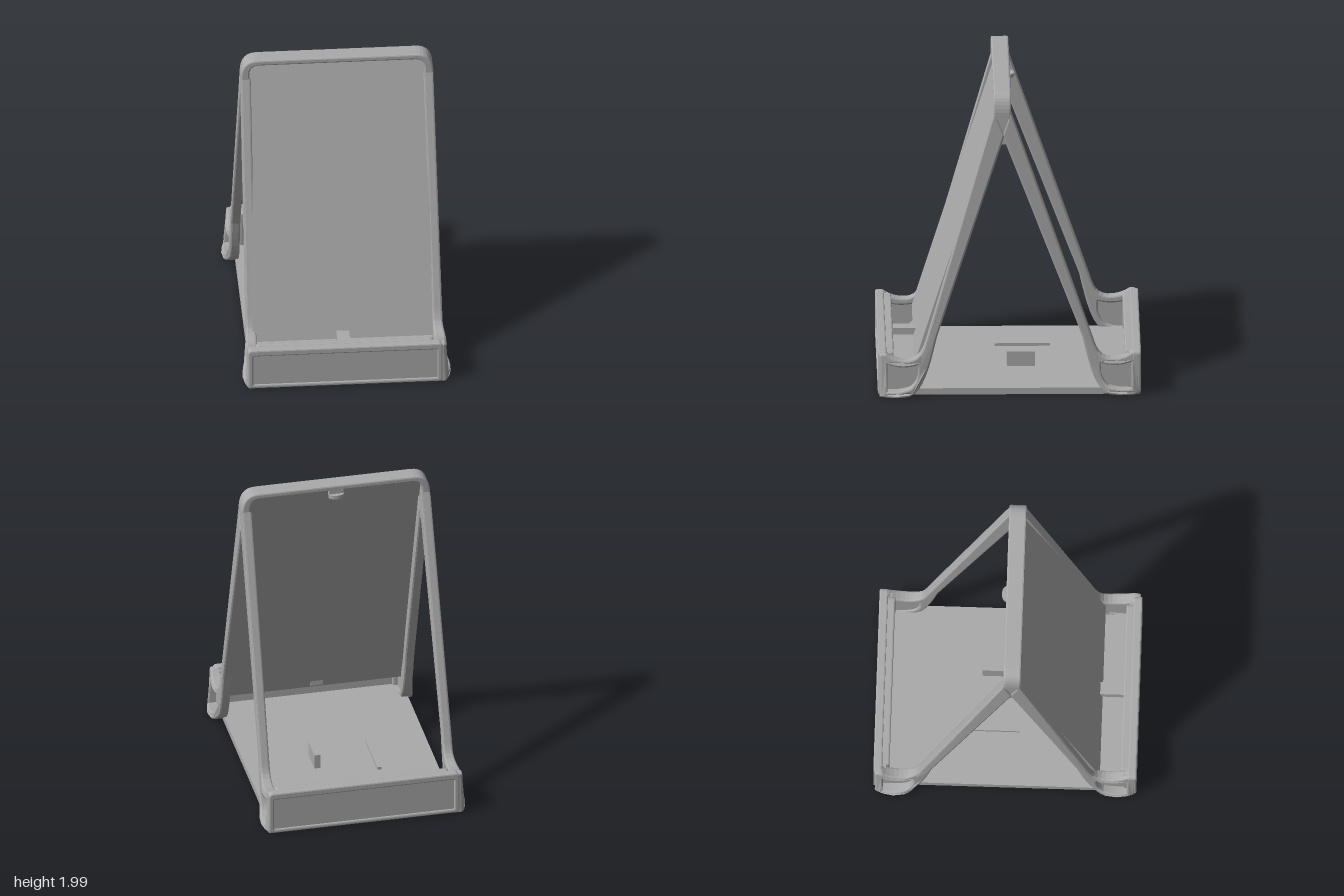
import * as THREE from 'three';

const grey = new THREE.MeshStandardMaterial({ color: 0xaaaaaa });
grey.name = 'plain grey';

function mesh(name, geometry, parent) {
  const m = new THREE.Mesh(geometry, grey);
  m.name = name;
  parent.add(m);
  return m;
}

function box(name, parent, x0, x1, y0, y1, z0, z1) {
  const m = mesh(name, new THREE.BoxGeometry(x1 - x0, y1 - y0, z1 - z0), parent);
  m.position.set((x0 + x1) / 2, (y0 + y1) / 2, (z0 + z1) / 2);
  return m;
}

// Rounded rectangle outline
function roundRect(Type, x, y0, y1, r) {
  const s = new Type();
  s.moveTo(-x + r, y0);
  s.lineTo(x - r, y0);
  s.quadraticCurveTo(x, y0, x, y0 + r);
  s.lineTo(x, y1 - r);
  s.quadraticCurveTo(x, y1, x - r, y1);
  s.lineTo(-x + r, y1);
  s.quadraticCurveTo(-x, y1, -x, y1 - r);
  s.lineTo(-x, y0 + r);
  s.quadraticCurveTo(-x, y0, -x + r, y0);
  return s;
}

// Extrusion whose bevel stays inside the outline and the given depth
function extrude(shape, depth, bevel) {
  const g = new THREE.ExtrudeGeometry(shape, {
    depth: depth - 2 * bevel, bevelEnabled: bevel > 0, bevelSize: bevel, bevelThickness: bevel,
    bevelOffset: -bevel, bevelSegments: 2, curveSegments: 8,
  });
  return g.translate(0, 0, bevel);
}

// Extrude a (z, y) profile sideways, centred on x
function sideways(shape, width, bevel) {
  return extrude(shape, width, bevel).translate(0, 0, -width / 2).rotateY(-Math.PI / 2);
}

// Rim around a recessed face
function rim(name, parent, x, y0, y1, z0, z1, inset) {
  const s = roundRect(THREE.Shape, x, y0, y1, 0.03);
  s.holes.push(roundRect(THREE.Path, x - inset, y0 + inset * 0.8, y1 - inset * 1.3, 0.008));
  mesh(name, extrude(s, z1 - z0, 0.009).translate(0, 0, z0), parent);
}

// Pocket outline in the side of each foot
function pocket(Type) {
  const s = new Type();
  s.moveTo(0.765, 0.225);
  s.quadraticCurveTo(0.68, 0.19, 0.575, 0.215);
  s.quadraticCurveTo(0.56, 0.12, 0.62, 0.07);
  s.quadraticCurveTo(0.68, 0.045, 0.765, 0.05);
  s.closePath();
  return s;
}

// One leg flowing into its foot; top = z of outer and inner edges at the apex
function leg(parent, side, top, lean, flare) {
  const s = new THREE.Shape();
  s.moveTo(0.815, 0.01);
  s.lineTo(0.815, 0.28);
  s.quadraticCurveTo(0.81, 0.295, 0.77, 0.29);
  s.bezierCurveTo(0.72, 0.25, 0.61, 0.22, 0.56, 0.29);
  s.quadraticCurveTo(0.54, 0.32, 0.525, 0.372);
  s.lineTo(top[0], 1.88);
  s.lineTo(top[1], 1.73);
  s.lineTo(0.455, 0.4);
  s.bezierCurveTo(0.5, 0.2, 0.54, 0.03, 0.63, 0.015);
  s.lineTo(0.7, 0.01);
  s.lineTo(0.76, 0.01);
  s.closePath();
  s.holes.push(pocket(THREE.Path));
  const g = sideways(s, 0.062, 0.012);
  const p = g.attributes.position;
  // Lean the leg outward towards the floor and flare the foot
  for (let i = 0; i < p.count; i++) {
    const x = p.getX(i), y = p.getY(i), z = p.getZ(i);
    const bump = Math.max(0, 1 - ((z - 0.69) / 0.14) ** 2) * Math.max(0, 1 - y / 0.34);
    const out = lean * THREE.MathUtils.clamp((1.85 - y) / 0.8, 0, 1) + (x * side > 0 ? flare * bump : 0);
    p.setX(i, x + side * (0.574 + out));
  }
  g.computeVertexNormals();
  mesh('leg', g, parent);
  const back = mesh('footPocketBack', sideways(pocket(THREE.Shape), 0.02, 0), parent);
  back.position.x = side * (0.565 + lean);
}

// Front or back half: two legs, a low wall with recessed faces
function half(name, parent, top) {
  const h = new THREE.Group();
  h.name = name;
  leg(h, 1, top, 0.025, 0.045);
  leg(h, -1, top, 0, 0.035);
  rim('wallOuterRim', h, 0.612, 0.012, 0.297, 0.77, 0.825, 0.034);
  rim('wallInnerRim', h, 0.56, 0.012, 0.29, 0.725, 0.785, 0.034);
  box('wallPlate', h, -0.585, 0.585, 0.03, 0.28, 0.745, 0.815);
  parent.add(h);
  return h;
}

export function createModel() {
  const model = new THREE.Group();
  model.name = 'displayStand';

  half('frontHalf', model, [0.095, 0.03]);
  half('backHalf', model, [0.01, -0.045]).rotation.y = Math.PI;

  // Floor
  box('floor', model, -0.59, 0.59, 0.008, 0.05, -0.78, 0.78);

  // Leaning panel between the front legs
  const panel = new THREE.Shape([[0.575, 0.2], [0.02, 1.965], [0.04, 1.97], [0.595, 0.21]]
    .reverse().map(([z, y]) => new THREE.Vector2(z, y)));
  mesh('panel', sideways(panel, 1.13, 0), model);
  box('panelTab', model, -0.04, 0.04, 0.215, 0.26, 0.56, 0.74);

  // Top arch over the panel
  const arch = new THREE.Shape();
  arch.moveTo(-0.605, 1.84);
  arch.lineTo(-0.55, 1.84);
  arch.lineTo(-0.55, 1.9);
  arch.quadraticCurveTo(-0.548, 1.96, -0.49, 1.962);
  arch.lineTo(0.49, 1.962);
  arch.quadraticCurveTo(0.548, 1.96, 0.55, 1.9);
  arch.lineTo(0.55, 1.84);
  arch.lineTo(0.605, 1.84);
  arch.lineTo(0.605, 1.88);
  arch.bezierCurveTo(0.6, 1.96, 0.57, 1.998, 0.5, 2);
  arch.lineTo(-0.5, 2);
  arch.bezierCurveTo(-0.57, 1.998, -0.6, 1.96, -0.605, 1.88);
  arch.closePath();
  mesh('topArch', extrude(arch, 0.11, 0.01).translate(0, 0, -0.01), model);

  // Yokes joining the legs below the arch
  const yoke = new THREE.Shape([[0.0, 1.665], [0.07, 1.66], [0.098, 1.78], [0.1, 1.88], [-0.01, 1.88], [-0.035, 1.76]]
    .map(([z, y]) => new THREE.Vector2(z, y)));
  for (const side of [-1, 1]) {
    mesh('yoke', sideways(yoke, 0.05, 0.01), model).position.x = side * 0.574;
  }

  // Clip behind the arch
  const clip = mesh('clip', new THREE.CylinderGeometry(0.05, 0.05, 0.025, 16), model);
  clip.scale.z = 0.6;
  clip.position.set(0, 1.93, -0.008);
  box('clipStem', model, -0.045, 0.045, 1.92, 1.97, -0.01, 0.05);

  // Small blocks on the floor
  box('lowStrip', model, -0.235, -0.207, 0.04, 0.068, -0.265, 0.08);
  box('tallBlock', model, 0.135, 0.175, 0.04, 0.145, -0.165, 0.01);

  return model;
}
